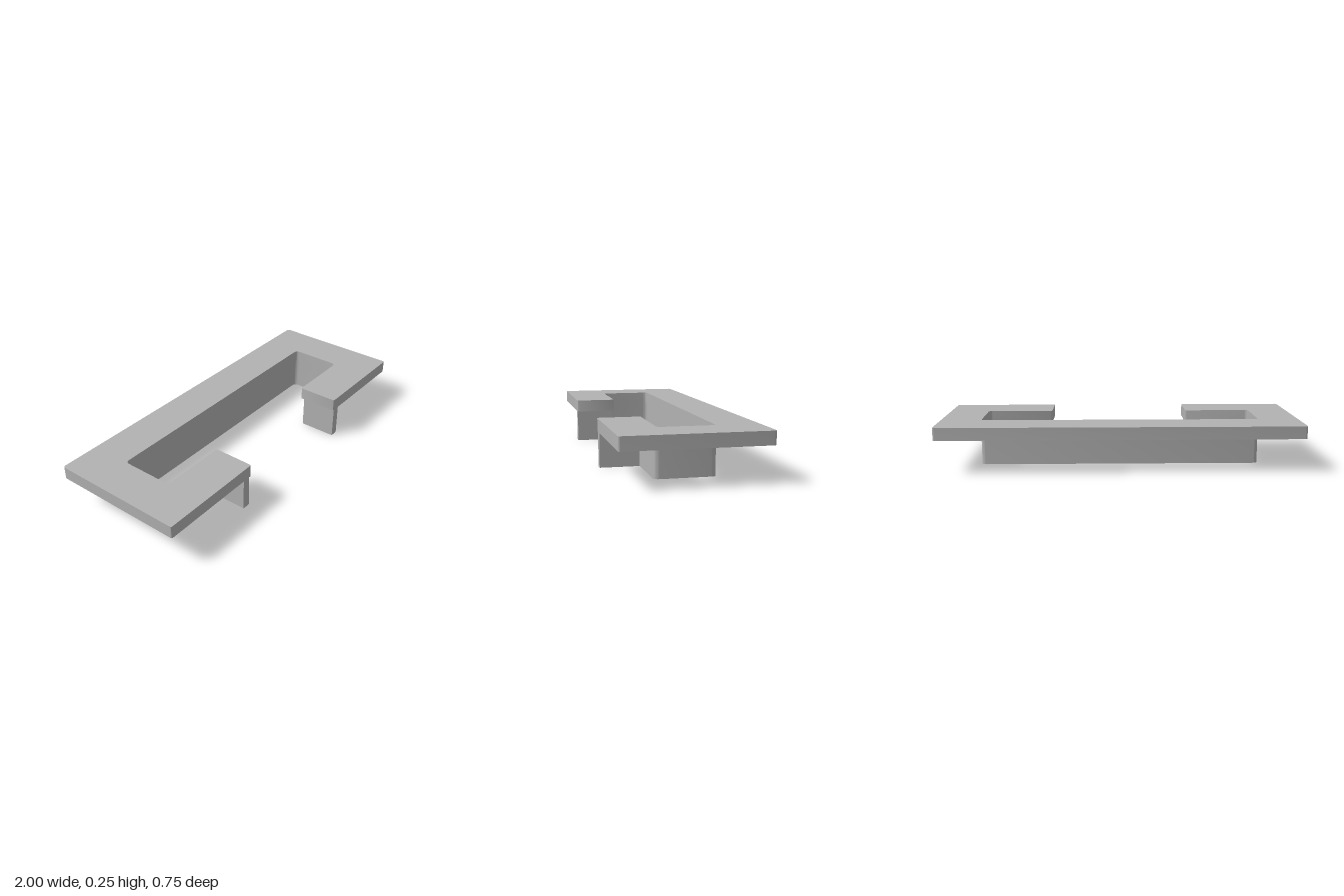
import * as THREE from 'three';
import { toCreasedNormals } from 'three/addons/utils/BufferGeometryUtils.js';

const WALL_TOP = 0.183, PLATE_TOP = 0.252;

// Draw straight runs joined by rounded corners; corners are [x, z, radius]
function trace(path, corners, closed) {
  const n = corners.length;
  const vec = ([x, z]) => new THREE.Vector2(x, -z);
  const toward = (a, b, d) => a.clone().add(b.clone().sub(a).setLength(d));
  corners.forEach((c, i) => {
    const p = vec(c), r = c[2] || 0;
    const sharp = r === 0 || (!closed && (i === 0 || i === n - 1));
    const a = sharp ? p : toward(p, vec(corners[(i + n - 1) % n]), r);
    if (i === 0) path.moveTo(a.x, a.y);
    else path.lineTo(a.x, a.y);
    if (!sharp) {
      const b = toward(p, vec(corners[(i + 1) % n]), r);
      path.quadraticCurveTo(p.x, p.y, b.x, b.y);
    }
  });
  if (closed) path.closePath();
  return path;
}

// Upright thin sheet following an open plan outline
function sheet(corners) {
  const pts = trace(new THREE.Path(), corners, false).getPoints(8);
  const pos = [], idx = [];
  pts.forEach((p, i) => {
    pos.push(p.x, 0, -p.y, p.x, WALL_TOP, -p.y);
    const k = i * 2;
    if (i) idx.push(k - 2, k, k - 1, k - 1, k, k + 1);
  });
  const geo = new THREE.BufferGeometry();
  geo.setAttribute('position', new THREE.Float32BufferAttribute(pos, 3));
  geo.setIndex(idx);
  return toCreasedNormals(geo, 0.6);
}

// Complete a half outline by mirroring it across x = 0
const mirrored = (half) => [...half, ...half.map(([x, z, r]) => [-x, z, r]).reverse()];

export function createModel() {
  const group = new THREE.Group();
  group.name = 'counter';
  const grey = new THREE.MeshStandardMaterial({ color: 0xb2b2b2, side: THREE.DoubleSide });
  grey.name = 'grey';
  const add = (name, geo) => {
    const mesh = new THREE.Mesh(geo, grey);
    mesh.name = name;
    group.add(mesh);
  };

  // C-shaped countertop
  const outline = mirrored([
    [0.775, -0.15, 0.025], [0.775, 0.144, 0.025], [0.398, 0.144, 0.01],
    [0.398, 0.373, 0.01], [1, 0.373, 0.01], [1, -0.373, 0.016],
  ]);
  const top = new THREE.ExtrudeGeometry(trace(new THREE.Shape(), outline, true), {
    depth: PLATE_TOP - WALL_TOP, bevelEnabled: false, curveSegments: 8,
  });
  top.rotateX(-Math.PI / 2).translate(0, WALL_TOP, 0);
  add('countertop', toCreasedNormals(top, 0.6));

  // Support wall wrapping round the opening
  add('supportWall', sheet(mirrored([
    [0.41, 0.16], [0.78, 0.16, 0.03], [0.78, -0.155, 0.03],
  ])));

  // Hollow end supports under the two front arms
  for (const s of [1, -1]) {
    add(s > 0 ? 'leftEndSupport' : 'rightEndSupport', sheet([
      [0.41 * s, 0.16], [0.41 * s, 0.37], [0.455 * s, 0.37], [0.455 * s, 0.16],
    ]));
  }
  return group;
}
